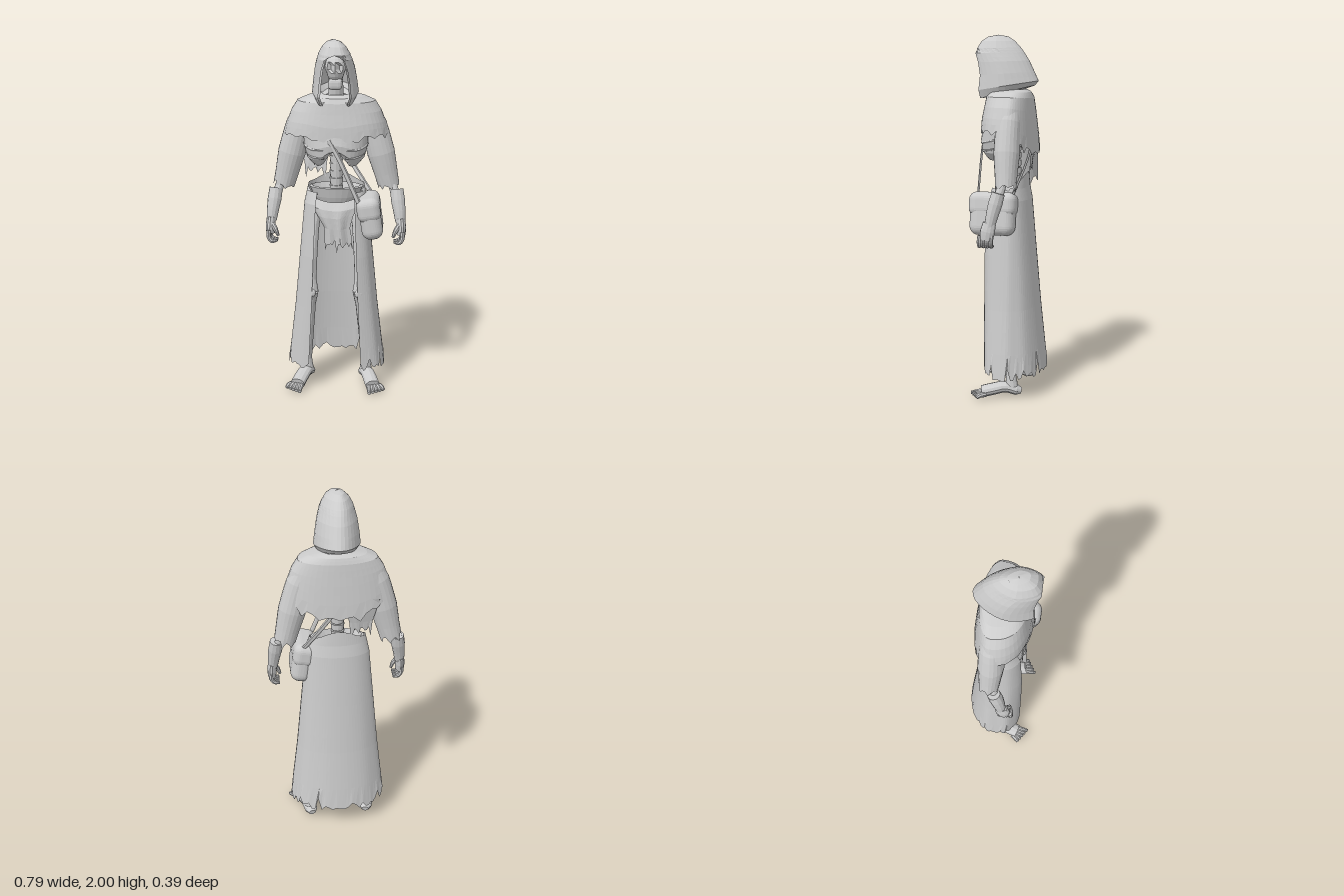
import * as THREE from 'three';
import { RoundedBoxGeometry } from 'three/addons/geometries/RoundedBoxGeometry.js';

export function createModel() {
  const model = new THREE.Group();
  model.name = 'hoodedSkeleton';
  const grey = new THREE.MeshStandardMaterial({ color: 0xcccccc, side: THREE.DoubleSide, flatShading: true });
  let seed = 7;
  const rand = () => (seed = (seed * 16807) % 2147483647) / 2147483647;
  const { sin, cos, PI, pow, abs, sign, max } = Math;

  const add = (name, geo, x = 0, y = 0, z = 0) => {
    const mesh = new THREE.Mesh(geo, grey);
    mesh.name = name;
    mesh.position.set(x, y, z);
    model.add(mesh);
    return mesh;
  };

  // Linear sample of a table of rows at v in 0..1
  const at = (rows, v) => {
    const f = v * (rows.length - 1), i = Math.min(Math.floor(f), rows.length - 2);
    return rows[i].map((a, k) => a + (rows[i + 1][k] - a) * (f - i));
  };

  // Surface from fn(u, v, column)
  const sheet = (name, nu, nv, fn) => {
    const pos = [], idx = [], w = nu + 1;
    for (let j = 0; j <= nv; j++)
      for (let i = 0; i <= nu; i++) pos.push(...fn(i / nu, j / nv, i));
    for (let j = 0; j < nv; j++)
      for (let i = 0; i < nu; i++) {
        const a = j * w + i;
        idx.push(a, a + 1, a + w, a + 1, a + w + 1, a + w);
      }
    const geo = new THREE.BufferGeometry();
    geo.setAttribute('position', new THREE.Float32BufferAttribute(pos, 3));
    geo.setIndex(idx);
    geo.computeVertexNormals();
    return add(name, geo);
  };

  // Ragged edge: one offset per column, first and last equal
  const jag = (n, size) => {
    const a = Array.from({ length: n }, (_, i) => size * (0.35 * rand() + (i % 3 === 0 ? 0.65 * rand() : 0)));
    return [...a, a[0]];
  };

  // Rounded limb through [x, y, z, radius] rows
  const limb = (name, rows, { s = 1, sides = 12, squash = 1, steps = 3, open = false, tear = 0 } = {}) => {
    const pts = rows.map(r => new THREE.Vector3(r[0] * s, r[1], r[2]));
    const curve = new THREE.CatmullRomCurve3(pts);
    const d = pts[pts.length - 1].clone().sub(pts[0]);
    const ref = abs(d.z) > abs(d.y) ? new THREE.Vector3(0, 1, 0) : new THREE.Vector3(0, 0, 1);
    const n = (rows.length - 1) * steps, extra = open ? 0 : 1, total = n + 2 * extra;
    const edge = jag(sides, tear);
    return sheet(name, sides, total, (u, v, i) => {
      const j = Math.round(v * total) - extra;
      const t = Math.min(max(j / n, 0), 1);
      const r = j < 0 || j > n ? 0 : at(rows, t)[3];
      const tan = curve.getTangent(t);
      const a = tan.clone().cross(ref).normalize(), b = tan.clone().cross(a);
      const p = curve.getPoint(t).addScaledVector(a, r * cos(u * 2 * PI)).addScaledVector(b, r * squash * sin(u * 2 * PI));
      if (tear && j === n) p.addScaledVector(tan, edge[i]);
      return p.toArray();
    });
  };

  // Hood, tucked in at the neck: [yFront, yBack, zFront, zBack, halfWidth, openingAngle]
  const hood = [
    [1.675, 1.70, 0.12, -0.05, 0.075, 0.6],
    [1.655, 1.725, 0.165, -0.125, 0.107, 0.6], [1.70, 1.75, 0.172, -0.146, 0.127, 0.62],
    [1.78, 1.80, 0.165, -0.122, 0.119, 0.58], [1.85, 1.86, 0.178, -0.093, 0.108, 0.52],
    [1.90, 1.905, 0.197, -0.064, 0.094, 0.4], [1.925, 1.93, 0.196, -0.045, 0.085, 0],
    [1.965, 1.965, 0.172, -0.012, 0.063, 0], [1.99, 1.99, 0.135, 0.025, 0.036, 0], [2, 2, 0.08, 0.08, 0, 0]];
  const hoodPoint = (rows, inset) => (u, v) => {
    const [yf, yb, zf, zb, hw, a0] = at(rows, v);
    const a = a0 + u * 2 * (PI - a0), c = cos(a), q = sin(a);
    const f = (c + 1) / (cos(a0) + 1);
    const x = c < 0 ? q * (1 + 0.22 * c) : sign(q) * pow(abs(q), 1 - 0.4 * c);
    return [hw * x * inset - 0.02 * (1 - f) * v, yb + (yf - yb) * f, zb + (zf - zb) * f + (1 - inset) * (0.5 - f) * 0.2];
  };
  sheet('hood', 24, 18, hoodPoint(hood, 1));
  sheet('hoodLining', 24, 10, hoodPoint(hood.slice(1, 7), 0.88));

  // Skull and neck inside the hood
  const skull = new THREE.SphereGeometry(0.07, 16, 12);
  const sp = skull.attributes.position;
  for (let i = 0; i < sp.count; i++) {
    const x = sp.getX(i), y = sp.getY(i), z = sp.getZ(i);
    const socket = Math.hypot(abs(x) - 0.027, y - 0.002) < 0.018 && z > 0;
    sp.setXYZ(i, x * (y < 0 ? 0.72 : 0.85), y * 1.1, z * (socket ? 0.65 : 1.05));
  }
  skull.computeVertexNormals();
  add('skull', skull, 0, 1.845, 0.065);
  add('jaw', new RoundedBoxGeometry(0.075, 0.06, 0.08, 2, 0.02), 0, 1.765, 0.085);
  limb('neck', [[0, 1.62, 0, 0.05], [0, 1.7, 0.03, 0.042], [0, 1.8, 0.045, 0.038]]);

  // Round cloth section from [y, halfWidth, zFront, zBack], with squareness e at the front and eb at the back
  const ring = (row, a, zc, e, eb = e) => {
    const [y, hx, zf, zb] = row, c = cos(a), q = sin(a), p = c > 0 ? e : eb;
    const k = sign(c) * pow(abs(c), p);
    return [hx * sign(q) * pow(abs(q), p), y, zc + (c > 0 ? zf - zc : zc - zb) * k];
  };

  // Shoulder cape, longer at the back
  const cape = [[1.705, 0.08, 0.09, -0.08], [1.69, 0.155, 0.122, -0.10], [1.665, 0.213, 0.136, -0.112],
    [1.61, 0.248, 0.145, -0.12], [1.55, 0.27, 0.157, -0.13], [1.485, 0.288, 0.162, -0.142]];
  const capeEdge = jag(48, 0.03);
  sheet('cape', 48, 10, (u, v, i) => {
    const a = u * 2 * PI, c = cos(a), p = ring(at(cape, v), a, -0.03, 0.86, 1);
    const drop = 0.12 * pow(max(0, -c), 1.5) + (c > 0 ? 0.03 * pow(c, 12) - 0.012 * abs(sin(2 * a)) : 0);
    p[1] -= drop * pow(v, 3) + (v === 1 ? capeEdge[i] * (c < -0.3 ? 1.8 : 1) : 0);
    return p;
  });

  // Torn strip hanging from the back of the cape
  const stripEdge = jag(10, 0.07);
  sheet('tornStrip', 10, 5, (u, v, i) => [
    -0.12 + (u - 0.5) * (0.2 - 0.09 * v), 1.45 - 0.18 * v - (v === 1 ? stripEdge[i] : 0),
    -0.122 + 0.035 * v + 0.02 * abs(u - 0.7)]);

  // Draped rib cage: two rounded lobes with a notch below the breastbone
  const chest = [[1.6, 0.18, 0.125, -0.08], [1.48, 0.178, 0.16, -0.085], [1.42, 0.175, 0.17, -0.08],
    [1.36, 0.158, 0.165, -0.06], [1.315, 0.12, 0.135, -0.02]];
  const chestEdge = jag(40, 0.016);
  sheet('ribCage', 40, 12, (u, v, i) => {
    const a = u * 2 * PI, p = ring(at(chest, v), a, 0.02, 0.85);
    p[1] += v * v * (0.09 * pow(max(0, cos(a)), 14) + 0.06 * max(0, -cos(a))) + (v === 1 ? chestEdge[i] : 0);
    return p;
  });
  for (const s of [1, -1])
    for (let k = 0; k < 2; k++) {
      const y = 1.435 - k * 0.045, w = 0.172 - k * 0.012;
      limb('rib', [[0.06, y - 0.02, 0.158 - k * 0.004, 0.006], [w * 0.72, y - 0.02, 0.135 - k * 0.005, 0.008],
        [w, y, 0.05, 0.007], [w * 0.85, y + 0.02, -0.03, 0.006]], { s, sides: 6 });
    }

  // Spine and pelvis
  limb('spineCore', [[0, 1.08, -0.02, 0.03], [0, 1.3, -0.01, 0.03], [0, 1.55, -0.03, 0.03]]);
  for (let k = 0; k < 7; k++)
    add('vertebra', new THREE.CylinderGeometry(0.038, 0.035, 0.036, 12), 0, 1.17 + k * 0.042, -0.014);
  const pelvis = add('pelvis', new THREE.LatheGeometry(
    [[0.03, 1.04], [0.085, 1.07], [0.125, 1.13], [0.15, 1.185], [0.135, 1.19], [0.1, 1.12], [0.03, 1.08]]
      .map(p => new THREE.Vector2(...p)), 24));
  pelvis.scale.z = 0.58;

  // Long skirt, open at the front and slightly peaked at the back
  const skirt = [[1.2, 0.155, 0.09, -0.088], [1.1, 0.178, 0.13, -0.107], [0.8, 0.206, 0.146, -0.132],
    [0.5, 0.234, 0.146, -0.158], [0.14, 0.276, 0.143, -0.195]];
  const skirtEdge = jag(66, 0.085);
  sheet('skirt', 66, 12, (u, v, i) => {
    const a0 = 0.54 - 0.1 * v, a = a0 + u * 2 * (PI - a0), c = cos(a);
    const p = ring(at(skirt, v), a, -0.015, 0.72, 0.98);
    p[0] *= 1 + 0.015 * v * sin(a * 9);
    if (v === 0) p[1] += 0.05 * pow(max(0, -c), 4) - 0.06 * max(0, c);
    if (v === 1) p[1] += skirtEdge[i] - 0.025;
    return p;
  });

  // Waist cloth hanging in the opening: [y, halfWidth, z, centre]
  const cloth = [[1.14, 0.13, 0.095, 0], [1.09, 0.128, 0.122, 0], [1.04, 0.1, 0.128, 0], [0.97, 0.072, 0.128, 0.01], [0.88, 0.078, 0.125, 0.02]];
  const clothEdge = jag(14, 0.09);
  sheet('loincloth', 14, 8, (u, v, i) => {
    const [y, w, z, c] = at(cloth, v), x = 2 * u - 1;
    return [c + w * x, y - (v === 1 ? clothEdge[i] - 0.02 : 0) - 0.03 * (1 - v) * (1 - x * x), z - 0.025 * x * x + 0.008 * v * sin(x * 7)];
  });

  for (const s of [1, -1]) {
    // Ragged sleeve
    limb('sleeve', [[0.16, 1.64, -0.03, 0.05], [0.205, 1.53, -0.025, 0.072], [0.248, 1.37, -0.025, 0.077], [0.29, 1.2, -0.03, 0.06]],
      { s, sides: 21, squash: 0.92, open: true, tear: 0.05 });
    // Forearm and hand
    limb('upperArmBone', [[0.2, 1.55, -0.03, 0.02], [0.27, 1.32, -0.03, 0.02], [0.315, 1.19, -0.01, 0.024], [0.33, 1.14, 0.005, 0.026]], { s });
    limb('forearm', [[0.338, 1.168, 0, 0.036], [0.345, 1.11, 0.015, 0.039], [0.354, 1.05, 0.03, 0.034], [0.361, 0.99, 0.042, 0.028]], { s });
    limb('palm', [[0.362, 1.01, 0.042, 0.024], [0.366, 0.965, 0.052, 0.027], [0.366, 0.92, 0.06, 0.024]], { s, squash: 1.5 });
    for (let k = 0; k < 4; k++) {
      const z = 0.03 + k * 0.021;
      limb('finger', [[0.371, 0.945, z, 0.013], [0.372, 0.91, z + 0.004, 0.013], [0.355, 0.884, z + 0.006, 0.012], [0.325, 0.88 + k * 0.003, z + 0.004, 0.007]], { s, sides: 8 });
    }
    limb('thumb', [[0.358, 0.985, 0.065, 0.015], [0.335, 0.95, 0.085, 0.014], [0.32, 0.912, 0.085, 0.008]], { s, sides: 8 });

    // Leg bones, knee and foot
    limb('thighBone', [[0.085, 1.1, 0, 0.035], [0.118, 1.03, 0.04, 0.037], [0.13, 0.85, 0.068, 0.03], [0.137, 0.66, 0.076, 0.029], [0.139, 0.59, 0.078, 0.042]], { s });
    limb('shinBone', [[0.139, 0.585, 0.076, 0.042], [0.145, 0.5, 0.058, 0.031], [0.162, 0.28, 0, 0.029], [0.172, 0.13, -0.03, 0.027], [0.172, 0.06, -0.035, 0.036]], { s });
    const knee = add('kneecap', new THREE.IcosahedronGeometry(0.026, 1), 0.134 * s, 0.585, 0.114);
    knee.scale.z = 0.6;
    limb('foot', [[0.16, 0.032, -0.088, 0.02], [0.165, 0.037, -0.06, 0.038], [0.182, 0.055, 0, 0.04], [0.2, 0.045, 0.06, 0.042], [0.217, 0.03, 0.125, 0.042]],
      { s, squash: 0.78 });
    for (let k = 0; k < 5; k++)
      limb('toe', [[0.19 + k * 0.014, 0.022, 0.1, 0.015], [0.196 + k * 0.018, 0.022, 0.145 - k * 0.005, 0.014], [0.2 + k * 0.02, 0.011, 0.193 - k * 0.013, 0.01]], { s, sides: 8 });
  }

  // Shoulder bag with flap and strap
  const bag = add('bag', new RoundedBoxGeometry(0.118, 0.23, 0.25, 4, 0.05), 0.196, 1.032, 0.065);
  const flap = add('bagFlap', new RoundedBoxGeometry(0.13, 0.135, 0.262, 4, 0.045), 0.184, 1.085, 0.065);
  bag.rotation.z = flap.rotation.z = 0.16;
  limb('frontStrap', [[-0.03, 1.47, 0.165, 0.013], [0.03, 1.36, 0.168, 0.013], [0.13, 1.13, 0.165, 0.013]], { sides: 6, squash: 0.4 });
  limb('backStrap', [[-0.03, 1.47, -0.11, 0.013], [0.06, 1.33, -0.1, 0.013], [0.19, 1.14, -0.045, 0.013]], { sides: 6, squash: 0.4 });

  return model;
}
